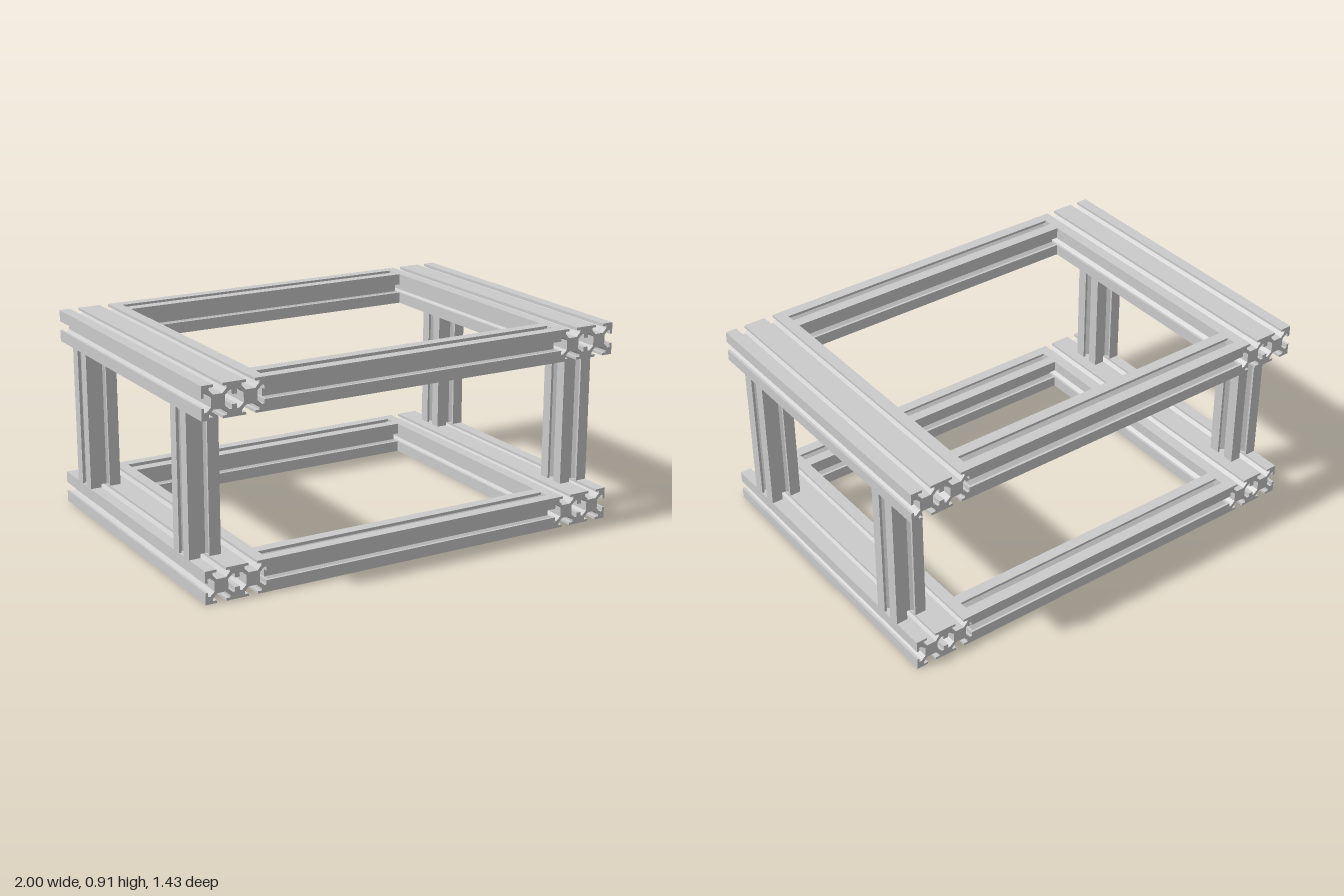
import * as THREE from 'three';

const S = 1 / 7;            // side of the square extrusion
const H = S / 2;
const RAIL = 10 * S;        // length of rails and crossbars
const TOP = 0.764;          // underside of the upper frame

// Square section with a T-slot in the middle of every side
function slotSection() {
  const mouth = 0.0205, lip = 0.011, wide = 0.039, waist = 0.021, depth = 0.041;
  const side = [
    [-H, -H], [-mouth, -H], [-mouth, -H + lip], [-wide, -H + lip],
    [-wide, -H + lip + 0.01], [-waist, -H + depth], [waist, -H + depth],
    [wide, -H + lip + 0.01], [wide, -H + lip], [mouth, -H + lip], [mouth, -H],
  ];
  const points = [];
  for (let i = 0; i < 4; i++) {
    for (const [x, y] of side) {
      points.push(new THREE.Vector2(x, y).rotateAround(new THREE.Vector2(), i * Math.PI / 2));
    }
  }
  return new THREE.Shape(points);
}

// Extrusion of the given length, centred on the origin, running along z
function slotBar(length) {
  const geometry = new THREE.ExtrudeGeometry(slotSection(), { depth: length, bevelEnabled: false });
  return geometry.translate(0, 0, -length / 2);
}

export function createModel() {
  const model = new THREE.Group();
  const material = new THREE.MeshStandardMaterial({ color: 0xcccccc, flatShading: true });
  const add = (name, geometry, x, y, z) => {
    const mesh = new THREE.Mesh(geometry, material);
    mesh.name = name;
    mesh.position.set(x, y, z);
    model.add(mesh);
  };

  const railGeometry = slotBar(RAIL);
  const crossGeometry = slotBar(RAIL).rotateY(Math.PI / 2);
  const postGeometry = slotBar(TOP - S).rotateX(Math.PI / 2);

  // Upper and lower frames: doubled side rails joined by two crossbars
  for (const [level, y] of [['lower', H], ['upper', TOP + H]]) {
    for (const s of [-1, 1]) {
      const side = s > 0 ? 'Left' : 'Right';
      add(`${level}${side}OuterRail`, railGeometry, s * (1 - H), y, 0);
      add(`${level}${side}InnerRail`, railGeometry, s * (1 - S - H), y, 0);
      add(`${level}${s > 0 ? 'Front' : 'Back'}Crossbar`, crossGeometry, 0, y, s * (RAIL / 2 - H));
    }
  }

  // Four posts standing between the outer rails
  for (const sx of [-1, 1]) {
    for (const sz of [-1, 1]) {
      const name = `${sz > 0 ? 'front' : 'back'}${sx > 0 ? 'Left' : 'Right'}Post`;
      add(name, postGeometry, sx * (1 - H), (TOP + S) / 2, sz * 0.5);
    }
  }
  return model;
}
